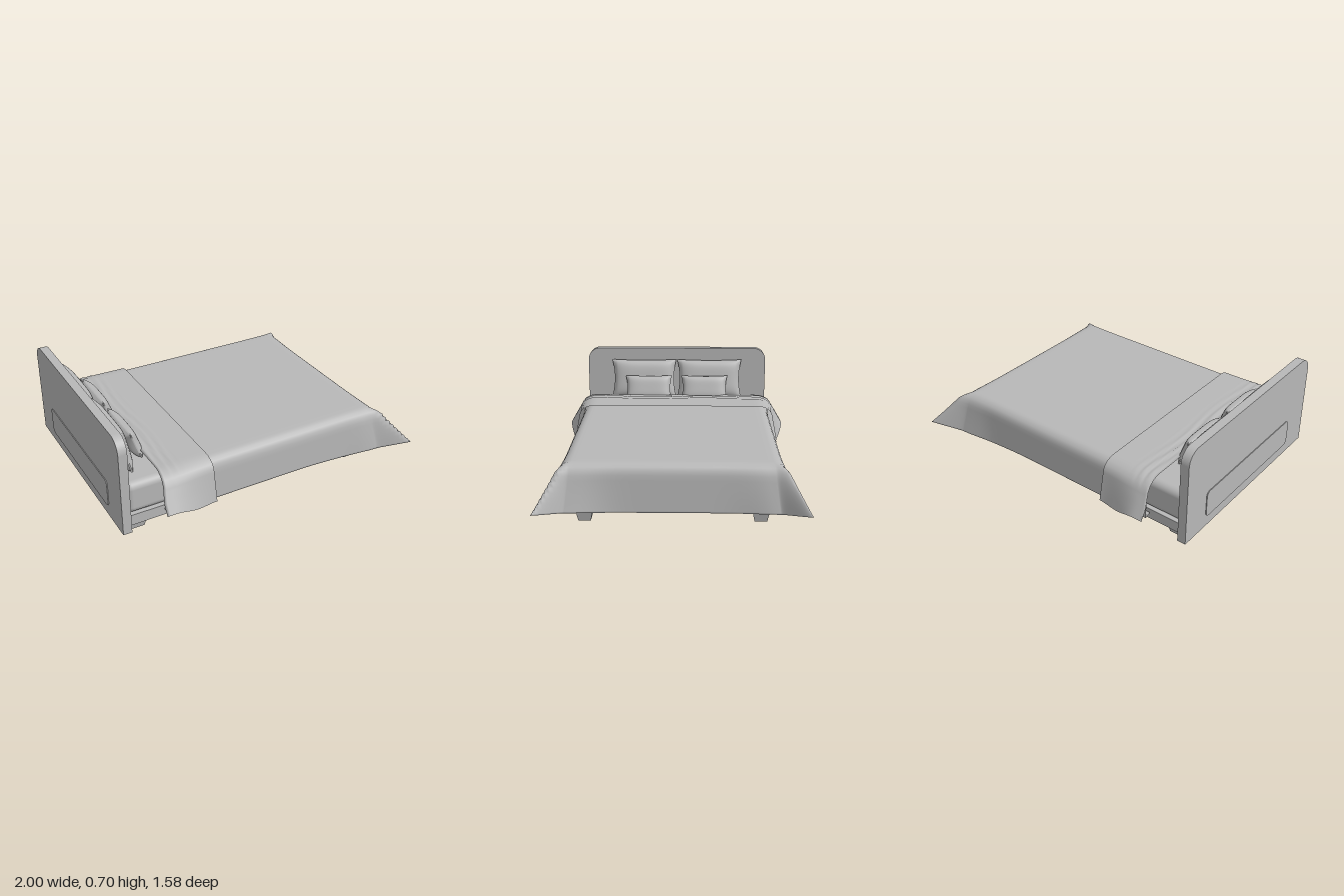
import * as THREE from 'three';
import { RoundedBoxGeometry } from 'three/addons/geometries/RoundedBoxGeometry.js';

const grey = new THREE.MeshStandardMaterial({ color: 0xb8b8b8 });
grey.name = 'grey';
const greyCloth = grey.clone();
greyCloth.name = 'greyCloth';
greyCloth.side = THREE.DoubleSide;

function add(parent, name, geometry, x = 0, y = 0, z = 0, material = grey) {
  const mesh = new THREE.Mesh(geometry, material);
  mesh.name = name;
  mesh.position.set(x, y, z);
  parent.add(mesh);
  return mesh;
}

// Smooth surface over two lists of parameters, fn(u, v) -> [x, y, z]
function sheet(us, vs, fn) {
  const pos = [], idx = [], n = vs.length;
  for (const u of us) for (const v of vs) pos.push(...fn(u, v));
  for (let i = 0; i < us.length - 1; i++) {
    for (let j = 0; j < n - 1; j++) {
      const a = i * n + j, b = a + 1, c = a + n, d = c + 1;
      idx.push(a, b, c, b, d, c);
    }
  }
  const g = new THREE.BufferGeometry();
  g.setAttribute('position', new THREE.Float32BufferAttribute(pos, 3));
  g.setIndex(idx);
  g.computeVertexNormals();
  return g;
}

const range = (a, b, n) => Array.from({ length: n + 1 }, (_, i) => a + (b - a) * i / n);
const bell = (d, w) => Math.exp(-((d / w) ** 2));

// Upright board in the z/y plane with rounded top corners (and bottom ones if asked)
function board(halfWidth, y0, y1, r, depth, roundBottom) {
  const s = new THREE.Shape(), w = halfWidth, q = roundBottom ? r : 0.001;
  s.moveTo(-w + q, y0);
  s.lineTo(w - q, y0);
  s.absarc(w - q, y0 + q, q, -Math.PI / 2, 0);
  s.absarc(w - r, y1 - r, r, 0, Math.PI / 2);
  s.absarc(-w + r, y1 - r, r, Math.PI / 2, Math.PI);
  s.absarc(-w + q, y0 + q, q, Math.PI, Math.PI * 1.5);
  const g = new THREE.ExtrudeGeometry(s, { depth, bevelEnabled: false, curveSegments: 10 });
  return g.rotateY(Math.PI / 2);
}

// Duvet: flat top that drops on three sides and flares out at the two foot corners
function duvetGeometry() {
  const X0 = 0.735, Z0 = 0.585;
  const hang = [0.05, 0.1, 0.16, 0.22, 0.3, 0.4, 0.5, 0.6, 0.7, 0.8, 0.9, 0.97, 1, 1.04, 1.1, 1.2];
  const us = [...range(-0.71, X0, 30), ...hang.map(h => X0 + h)];
  const vs = [...hang.map(h => -Z0 - h).reverse(), ...range(-Z0, Z0, 30), ...hang.map(h => Z0 + h)];
  return sheet(us, vs, (u, v) => {
    const side = Math.sign(v);
    const ox = Math.max(0, u - X0), oz = Math.max(0, Math.abs(v) - Z0);
    const px = Math.min(u, X0), pz = Math.min(Math.abs(v), Z0);
    const s = Math.max(ox, oz);
    if (s < 1e-6) return [px, 0.38, side * pz];
    const h = Math.min(s, 1), roll = Math.max(0, s - 1);
    const arc = Math.min(h / 0.3, 1) * Math.PI / 2;
    const out = 0.065 * Math.sin(arc) + 0.012 * h - roll * 0.2;
    const e = Math.min(ox, oz) / s;
    // corner weight: 1 on the ridge, fading along the side and the foot
    const c = e > 0 ? 0.3 + 0.7 * e * e * (3 - 2 * e)
      : 0.3 * (oz > 0 ? bell(X0 - px, 0.11) : bell(Z0 - pz, 0.16));
    const flare = c * (h ** 1.1 - roll * 0.35);
    const hem = 0.11 - 0.022 * THREE.MathUtils.smoothstep(px, 0.2, X0) + 0.055 * c;
    const y = h < 0.3 ? 0.38 - 0.065 * (1 - Math.cos(arc))
      : 0.315 + (hem - 0.315) * (h - 0.3) / 0.7;
    return [
      px + out * ox / s + 0.185 * flare,
      y + roll * 0.08,
      side * (pz + out * oz / s + 0.13 * flare),
    ];
  });
}

// Turned-down band: outer layer, rounded head edge, inner layer, flaps that splay out
function foldGeometry() {
  const us = range(0, 2, 40), vs = range(-1, 1, 80);
  return sheet(us, vs, (u, v) => {
    const t = u <= 1 ? u : 2 - u;              // 0 at the foot edge, 1 at the head edge
    const a = Math.abs(v), side = Math.sign(v);
    const d = Math.max(0, (a - 0.66) / 0.34);  // drop along the flap
    const splay = THREE.MathUtils.smoothstep(t, 0, 0.85);
    const arc = Math.min(d / 0.3, 1) * Math.PI / 2;
    const z = Math.min(a / 0.66, 1) * 0.585 + 0.08 * Math.sin(arc)
      + d * (0.055 + 0.06 * splay);
    const hem = 0.13 + 0.06 * splay ** 2;
    let y = d < 0.3 ? 0.392 - 0.065 * (1 - Math.cos(arc))
      : 0.327 + (hem - 0.327) * (d - 0.3) / 0.7;
    // soft creases on the top near the head edge
    y += 0.007 * bell(t - 0.8, 0.18) * (1 - Math.min(1, d * 4))
      * Math.sin(t * 42 + 2 * Math.sin(v * 7));
    const thick = 0.03 * Math.sqrt(Math.max(0, 1 - t ** 6)) * Math.sqrt(1 - d ** 6);
    const inner = u > 1 ? 1 : 0;
    const tilt = Math.min(1, d * 3);
    return [
      -0.41 - t * (0.325 + 0.03 * Math.min(1, d * 1.5)),
      y - inner * thick * (1 - tilt),
      side * (z - inner * thick * tilt),
    ];
  });
}

// Pillow: puffed box with pinched sides and pointed corners
function pillowGeometry(w, h, depth) {
  const g = new THREE.BoxGeometry(2, 2, 2, 24, 24, 4);
  const p = g.attributes.position;
  for (let i = 0; i < p.count; i++) {
    const u = p.getX(i), v = p.getY(i), n = p.getZ(i);
    const puff = 0.08 + 0.92 * Math.sqrt((1 - u ** 4) * (1 - v ** 4));
    p.setXYZ(i,
      u * w / 2 * (1 - 0.08 * (1 - v * v) * u * u),
      v * h / 2 * (1 - 0.05 * (1 - u * u) * v * v),
      n * depth / 2 * puff);
  }
  g.computeVertexNormals();
  return g;
}

export function createModel() {
  const bed = new THREE.Group();
  bed.name = 'bed';

  // Headboard with a raised panel on its back
  add(bed, 'headboard', board(0.67, 0.07, 0.7, 0.09, 0.055, false), -0.995);
  add(bed, 'backPanel', board(0.47, 0.14, 0.32, 0.03, 0.006, true), -1);

  // Base, mattress and tapered legs
  add(bed, 'base', new THREE.BoxGeometry(1.695, 0.07, 1.22), -0.0925, 0.105, 0);
  add(bed, 'mattress', new RoundedBoxGeometry(1.67, 0.21, 1.2, 5, 0.045), -0.1, 0.24, 0);
  for (const x of [-0.86, 0.68]) {
    for (const z of [-0.523, 0.523]) {
      const leg = new THREE.CylinderGeometry(0.06 * Math.SQRT2, 0.044 * Math.SQRT2, 0.07, 4, 1)
        .rotateY(Math.PI / 4).toNonIndexed();
      leg.computeVertexNormals();
      add(bed, 'leg', leg, x, 0.035, z).scale.z = 0.85;
    }
  }

  // Bedding
  add(bed, 'duvet', duvetGeometry(), 0, 0, 0, greyCloth);
  add(bed, 'duvetFold', foldGeometry(), 0, 0, 0, greyCloth);

  // Two large pillows with two small ones leaning on them
  for (const side of [-1, 1]) {
    const large = add(bed, 'largePillow', pillowGeometry(0.485, 0.285, 0.105), -0.875, 0.482, side * 0.245);
    const small = add(bed, 'smallPillow', pillowGeometry(0.345, 0.185, 0.085), -0.765, 0.435, side * 0.207);
    large.rotation.set(-0.22, Math.PI / 2, 0, 'YXZ');
    small.rotation.set(-0.35, Math.PI / 2, 0, 'YXZ');
  }
  return bed;
}
